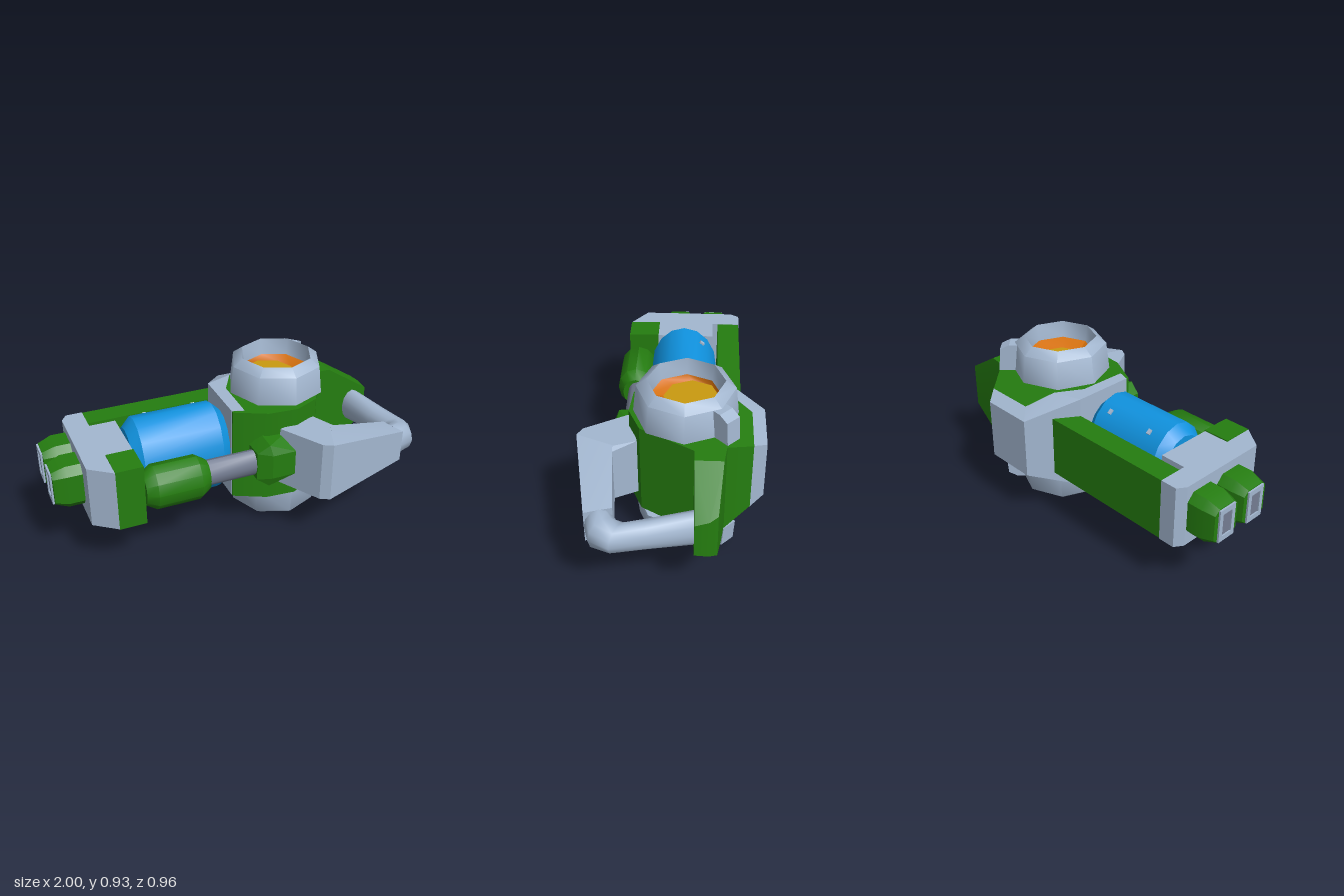
import * as THREE from 'three';
import { toCreasedNormals } from 'three/addons/utils/BufferGeometryUtils.js';
import { ConvexGeometry } from 'three/addons/geometries/ConvexGeometry.js';

const MID = 0.465; // height of the symmetry plane; all parts are built around it

function material(name, color, side = THREE.FrontSide) {
  const m = new THREE.MeshStandardMaterial({ color, side });
  m.name = name;
  return m;
}

export function createModel() {
  const grey = material('pale grey', 0xa3b7d0);
  const green = material('green', 0x257d10);
  const blue = material('blue', 0x1093e0);
  const steel = material('dark steel', 0x747d92);
  const orange = material('orange', 0xd4700c, THREE.DoubleSide);
  const yellow = material('yellow', 0xc99a10, THREE.DoubleSide);

  const model = new THREE.Group();
  model.name = 'model';
  const core = new THREE.Group();
  core.name = 'device';
  core.position.y = MID;
  model.add(core);

  function add(name, geometry, mat) {
    const mesh = new THREE.Mesh(geometry, mat);
    mesh.name = name;
    core.add(mesh);
    return mesh;
  }

  // convex solid from [x, z, half height] corners, mirrored above and below
  function hull(name, mat, corners, crease = 0.45) {
    const pts = [];
    for (const [x, z, h] of corners) {
      pts.push(new THREE.Vector3(x, h, z), new THREE.Vector3(x, -h, z));
    }
    return add(name, toCreasedNormals(new ConvexGeometry(pts), crease), mat);
  }

  // round part along x from [x, radius] pairs, stretched to an oval
  function along(name, mat, profile, z, ry, rz, sides = 12) {
    const g = new THREE.LatheGeometry(profile.map(([x, r]) => new THREE.Vector2(r, x)), sides);
    g.rotateZ(-Math.PI / 2);
    g.scale(1, ry, rz);
    g.translate(0, 0, z);
    return add(name, toCreasedNormals(g, 0.6), mat);
  }

  // body
  const H = 0.265;
  hull('body', green, [
    [-0.03, 0.12, H], [-0.028, 0.105, H], [0.04, -0.14, H], [0.12, -0.28, H], [0.2, -0.41, 0.2],
    [0.475, -0.41, 0.2], [0.57, -0.28, H], [0.6, -0.12, H], [0.44, 0.155, H],
    [0.3, 0.218, H], [0.14, 0.205, H],
  ]);
  hull('bodySpur', green, [
    [0.54, -0.28, H], [0.54, -0.12, H], [0.67, -0.262, H], [0.67, -0.122, H],
    [0.895, -0.24, 0.125], [0.92, -0.2, 0.11], [0.93, -0.13, 0.095],
  ]);

  // grey shell wrapped around the rear corner of the body
  const shell = [
    [[-0.03, 0.105, H], [0.035, 0.125, H], [0.04, -0.14, H], [-0.03, -0.23, H]],
    [[-0.03, -0.23, H], [0.04, -0.14, H], [0.12, -0.28, H], [0.2, -0.41, 0.2], [0.13, -0.48, 0.165]],
    [[0.13, -0.48, 0.165], [0.2, -0.41, 0.2], [0.475, -0.41, 0.2], [0.42, -0.48, 0.165]],
  ];
  // lifted a hair so that it covers the green underneath
  shell.forEach((s, i) => hull('shell' + (i + 1), grey, s.map(([x, z, h]) => [x, z, h + 0.002])));

  // pods above and below, each with a recessed lens and a clip
  const px = 0.303, pz = -0.07;
  for (const s of [1, -1]) {
    const tag = s > 0 ? 'upper' : 'lower';
    const profile = [[0, 0.25], [0.2, 0.25], [0.2, 0.275], [0.265, 0.275], [0.248, 0.425],
      [0.195, 0.465], [0.18, 0.375]].map(p => new THREE.Vector2(...p));
    const pod = new THREE.LatheGeometry(profile, 8);
    if (s < 0) pod.rotateX(Math.PI);
    pod.translate(px, 0, pz);
    add(tag + 'Pod', toCreasedNormals(pod, 0.795), grey);

    const cone = new THREE.CylinderGeometry(0.182, 0.14, 0.03, 8, 1, true);
    const p = cone.attributes.position;
    for (let i = 0; i < p.count; i++) {
      const shift = p.getY(i) < 0 ? -0.028 : 0;
      p.setXYZ(i, p.getX(i) + shift + px, s * (p.getY(i) + 0.36), p.getZ(i) + shift + pz);
    }
    cone.computeVertexNormals();
    add(tag + 'LensRim', cone, orange);
    const lens = new THREE.CircleGeometry(0.141, 16).rotateX(-s * Math.PI / 2);
    lens.translate(px - 0.028, s * 0.346, pz - 0.028);
    add(tag + 'Lens', lens, yellow);

    // clip set on the diagonal: [outward distance, height]
    const clip = [];
    for (const [r, y] of [[0.22, 0.275], [0.335, 0.275], [0.325, 0.4], [0.275, 0.425], [0.22, 0.425]]) {
      for (const w of [-0.042, 0.042]) {
        clip.push(new THREE.Vector3(px + (r + w) * 0.707, s * y, pz - (r - w) * 0.707));
      }
    }
    add(tag + 'Clip', toCreasedNormals(new ConvexGeometry(clip), 0.3), grey);
  }

  // grip: wide root, tapering bar, then a smooth oval handle
  hull('gripRoot', grey, [
    [0.2, 0.22, 0.168], [0.33, 0.45, 0.168], [0.38, 0.478, 0.168],
    [0.52, 0.33, 0.15], [0.46, 0.28, 0.168], [0.42, 0.17, 0.168],
  ], 0.2);
  hull('gripBar', grey, [
    [0.38, 0.478, 0.168], [0.46, 0.29, 0.168], [0.52, 0.33, 0.15],
    [0.86, 0.388, 0.09], [0.82, 0.255, 0.09],
  ], 0.2);
  const sections = [ // outer x, z, inner x, z, half height
    [0.855, 0.39, 0.82, 0.25, 0.093], [0.95, 0.36, 0.845, 0.225, 0.09],
    [0.998, 0.26, 0.85, 0.19, 0.072], [0.96, 0.1, 0.825, 0.08, 0.078],
    [0.9, -0.13, 0.78, -0.13, 0.098],
  ];
  const N = 12, pos = [], index = [];
  sections.forEach(([ox, oz, ix, iz, h], i) => {
    for (let j = 0; j < N; j++) {
      const a = (j / N) * Math.PI * 2, t = (1 + Math.cos(a)) / 2;
      pos.push(ix + (ox - ix) * t, h * Math.sin(a), iz + (oz - iz) * t);
      if (i === sections.length - 1) continue;
      const k = i * N, n = (j + 1) % N;
      index.push(k + j, k + N + j, k + n, k + n, k + N + j, k + N + n);
    }
  });
  const handle = new THREE.BufferGeometry();
  handle.setAttribute('position', new THREE.Float32BufferAttribute(pos, 3));
  handle.setIndex(index);
  handle.computeVertexNormals();
  add('handle', handle, grey);

  // tank with small studs
  along('tank', blue, [[-0.575, 0], [-0.575, 0.8], [-0.525, 1], [-0.09, 1], [-0.04, 0.8], [-0.04, 0]],
    -0.035, 0.255, 0.19, 16);
  for (const x of [-0.435, -0.16]) {
    for (const s of [1, -1]) {
      const stud = add('tankStud', new THREE.BoxGeometry(0.02, 0.01, 0.028), grey);
      stud.position.set(x, s * 0.213, -0.14);
      stud.rotation.x = -s * 0.68;
    }
  }

  // rear arm, yoke and front block
  const arm = 0.168;
  hull('rearArm', green, [[-0.73, -0.355, arm], [0.06, -0.355, arm], [0.1, -0.23, arm], [-0.73, -0.23, arm]]);
  const outline = [[-0.84, -0.31], [-0.81, -0.357], [-0.72, -0.357], [-0.72, -0.2], [-0.578, -0.2],
    [-0.578, 0.13], [-0.72, 0.13], [-0.72, 0.29], [-0.84, 0.2]];
  const yoke = new THREE.ExtrudeGeometry(
    new THREE.Shape(outline.map(([x, z]) => new THREE.Vector2(x, -z))),
    { depth: 0.34, bevelEnabled: false });
  yoke.rotateX(-Math.PI / 2).translate(0, -0.17, 0);
  add('yoke', yoke, grey);
  hull('frontBlock', green, [[-0.72, 0.12, 0.176], [-0.575, 0.12, 0.176],
    [-0.575, 0.29, 0.172], [-0.72, 0.29, 0.172]], 0.2);

  // pump, rod and socket
  along('pump', green, [[-0.57, 0], [-0.57, 0.72], [-0.515, 1], [-0.28, 1], [-0.225, 0.7], [-0.225, 0]],
    0.232, 0.124, 0.103, 12);
  along('rod', steel, [[-0.24, 0], [-0.24, 1], [0.07, 1], [0.07, 0]], 0.22, 0.073, 0.055, 12);
  hull('rodSocket', green, [
    [0.045, 0.17, 0.08], [0.045, 0.275, 0.08], [0.11, 0.17, 0.132],
    [0.11, 0.29, 0.125], [0.12, 0.312, 0.07], [0.25, 0.312, 0.07], [0.25, 0.2, 0.132],
  ], 0.2);

  // twin emitters with framed slots
  for (const z of [-0.205, 0.005]) {
    hull('emitter', green, [
      [-0.83, z - 0.098, 0.08], [-0.83, z + 0.098, 0.08], [-0.83, z - 0.06, 0.122], [-0.83, z + 0.06, 0.122],
      [-0.92, z - 0.098, 0.08], [-0.92, z + 0.098, 0.08], [-0.92, z - 0.06, 0.122], [-0.92, z + 0.06, 0.122],
      [-0.99, z - 0.08, 0.07], [-0.99, z + 0.08, 0.07], [-0.99, z - 0.05, 0.095], [-0.99, z + 0.05, 0.095],
    ]);
    const rect = (w, h) => [[-w, -h], [w, -h], [w, h], [-w, h]].map(p => new THREE.Vector2(...p));
    const frame = new THREE.Shape(rect(0.055, 0.09));
    frame.holes.push(new THREE.Path(rect(0.032, 0.062)));
    const g = new THREE.ExtrudeGeometry(frame, { depth: 0.02, bevelEnabled: false });
    add('emitterFrame', g.rotateY(-Math.PI / 2).translate(-0.98, 0, z), grey);
    const slot = add('emitterSlot', new THREE.BoxGeometry(0.006, 0.126, 0.066), steel);
    slot.position.set(-0.99, 0, z);
  }

  return model;
}
